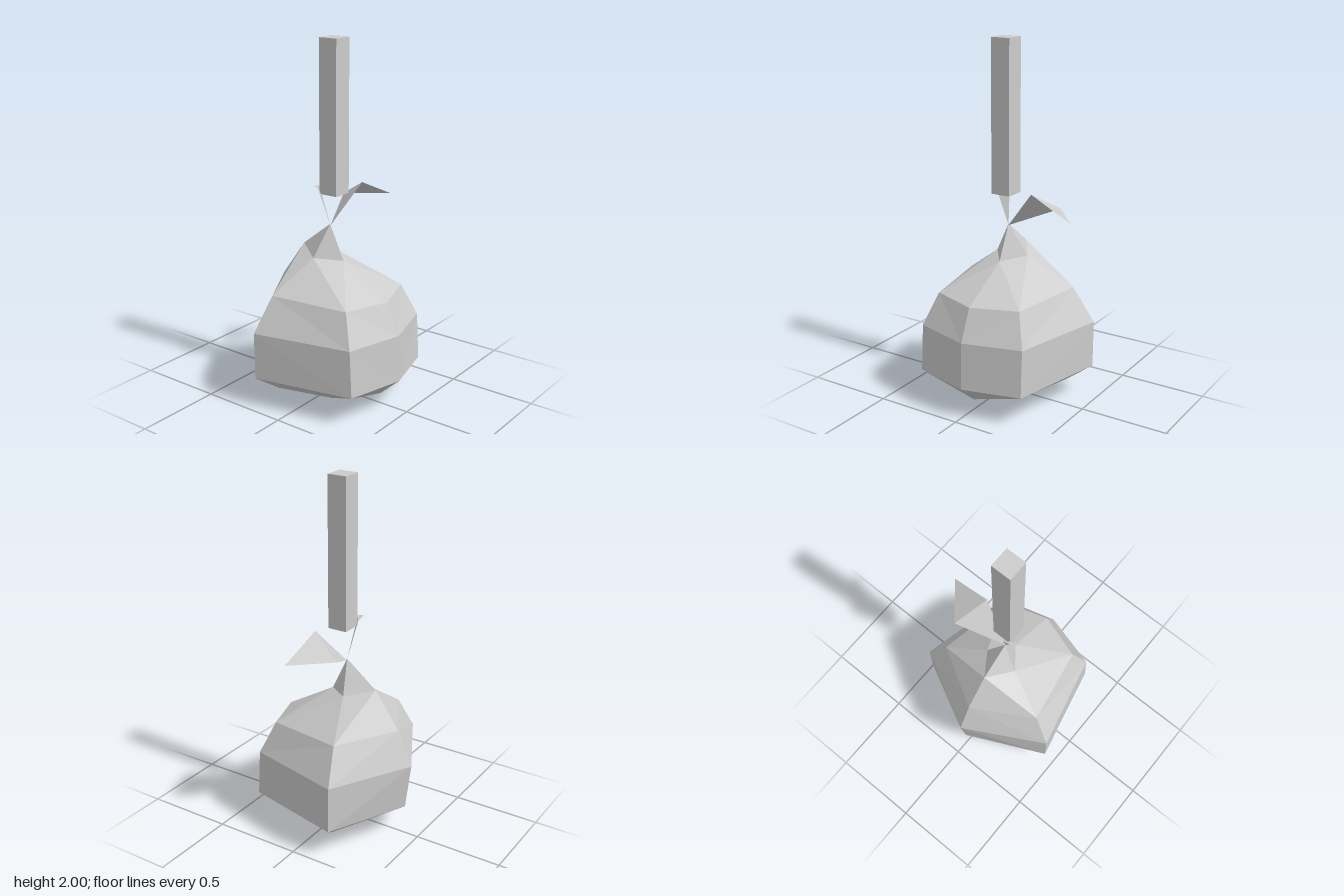
import * as THREE from 'three';

const V = (x, y, z) => new THREE.Vector3(x, y, z);

// Mirrored six-point ring: front, left corner, left side, back, right side, right corner
function ring(front, corner, side, back) {
  const [f, c, s, b] = [front, corner, side, back].map(p => V(...p));
  const flip = p => V(-p.x, p.y, p.z);
  return [f, c, s, b, flip(s), flip(c)];
}

function pushTriangle(out, a, b, c) {
  if (a.distanceTo(b) < 1e-5 || b.distanceTo(c) < 1e-5 || a.distanceTo(c) < 1e-5) return;
  for (const p of [a, b, c]) out.push(p.x, p.y, p.z);
}

function toGeometry(positions) {
  const geometry = new THREE.BufferGeometry();
  geometry.setAttribute('position', new THREE.Float32BufferAttribute(positions, 3));
  geometry.computeVertexNormals();
  return geometry;
}

// Joins rings from bottom to top, mirroring the quad diagonals left to right
function loft(rings) {
  const out = [];
  for (let r = 0; r < rings.length - 1; r++) {
    for (let i = 0; i < 6; i++) {
      const j = (i + 1) % 6;
      const a = rings[r][i], b = rings[r][j], c = rings[r + 1][j], d = rings[r + 1][i];
      if (i < 3) {
        pushTriangle(out, a, b, c);
        pushTriangle(out, a, c, d);
      } else {
        pushTriangle(out, a, b, d);
        pushTriangle(out, b, c, d);
      }
    }
  }
  return toGeometry(out);
}

// Folded flap: two triangles hinged on the line between a and b
function flap(root, a, b, tip) {
  const out = [];
  pushTriangle(out, root, a, b);
  pushTriangle(out, a, tip, b);
  return toGeometry(out);
}

export function createModel() {
  const model = new THREE.Group();
  const grey = new THREE.MeshStandardMaterial({ name: 'light grey', color: 0xcccccc });
  grey.flatShading = true;
  grey.side = THREE.DoubleSide;

  const add = (name, geometry) => {
    const mesh = new THREE.Mesh(geometry, grey);
    mesh.name = name;
    model.add(mesh);
    return mesh;
  };

  // Faceted sack, gathered to a point at the knot
  const bottom = [0, 0, -0.025], knot = [0, 0.98, -0.028];
  add('sack', loft([
    ring(bottom, bottom, bottom, bottom),
    ring([0, 0.06, 0.325], [0.235, 0.075, 0.16], [0.325, 0.08, -0.14], [0, 0.08, -0.22]),
    ring([0, 0.17, 0.447], [0.325, 0.17, 0.362], [0.452, 0.17, -0.2], [0, 0.17, -0.415]),
    ring([0, 0.435, 0.437], [0.323, 0.435, 0.347], [0.452, 0.435, -0.203], [0, 0.435, -0.448]),
    ring([0, 0.612, 0.36], [0.26, 0.617, 0.275], [0.34, 0.63, -0.163], [0, 0.63, -0.36]),
    ring([0, 0.785, 0.065], [0, 0.785, 0.065], [0.1, 0.8, -0.067], [0, 0.835, -0.213]),
    ring(knot, knot, knot, knot),
  ]));

  // Loose flaps of cloth above the knot
  const root = V(0, 0.97, -0.026);
  add('leftFlap', flap(root, V(0.19, 1.19, 0.05), V(0.268, 1.08, -0.135), V(0.44, 1.075, 0.07)));
  add('rightFlap', flap(root, V(-0.1, 1.205, -0.035), V(-0.026, 1.2, -0.08), V(-0.1, 1.21, -0.07)));

  // Square hanging post
  add('post', new THREE.BoxGeometry(0.113, 0.84, 0.113)).position.y = 1.58;

  return model;
}
